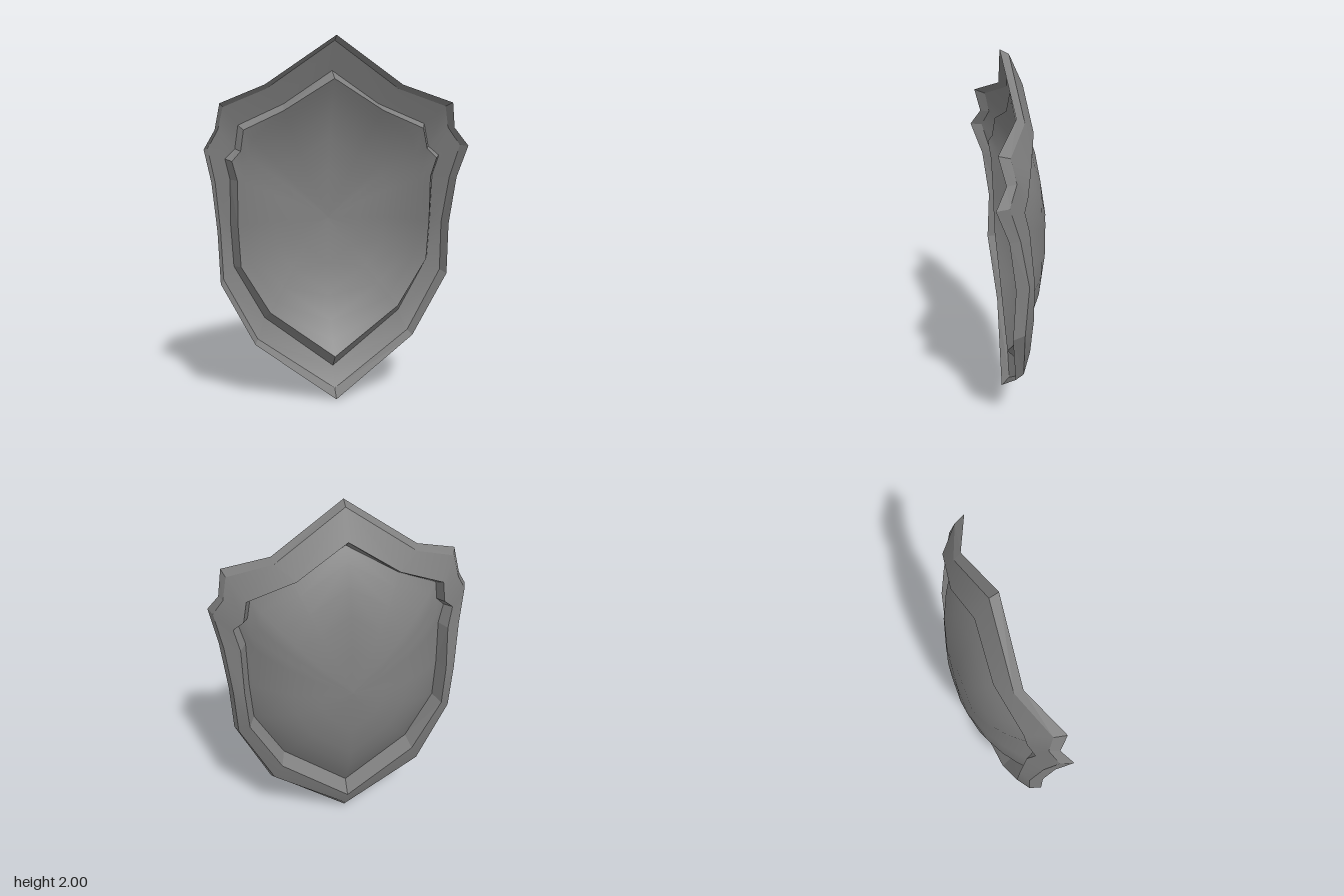
import * as THREE from 'three';

// Half outlines from the top point down the model's left side to the bottom point
const OUTER_EDGE = [[0, 2, .065], [.375, 1.745, .03], [.62, 1.65, .145], [.645, 1.515, .11], [.705, 1.42, .165],
  [.667, 1.245, .1], [.64, .98, .065], [.63, .7, .078], [.447, .34, .04], [0, 0, .065]];
const RIM_EDGE = [[0, 1.975, .018], [.365, 1.722, -.012], [.6, 1.63, .085], [.625, 1.515, .06], [.682, 1.42, .1],
  [.645, 1.24, .045], [.62, .98, -.003], [.61, .71, .015], [.43, .36, -.005], [0, .05, .02]];
const STEP_OUTER = [[0, 1.82, -.052], [.265, 1.642, -.07], [.515, 1.533, -.02], [.535, 1.41, -.005], [.59, 1.36, .018],
  [.563, 1.247, -.01], [.563, 1, -.035], [.55, .77, -.038], [.385, .468, -.045], [0, .165, -.035]];
const STEP_INNER = [[0, 1.777, .015], [.275, 1.607, .0], [.492, 1.51, .04], [.51, 1.4, .055], [.558, 1.35, .075],
  [.53, 1.247, .06], [.53, 1, .05], [.518, .78, .045], [.363, .515, .03], [0, .237, .03]];

// Mirror a half outline into a closed loop
const closeLoop = half => [...half, ...half.slice(1, -1).reverse().map(([x, y, z]) => [-x, y, z])];

// Skin a series of closed loops, outermost first, with the front facing +z
function skin(loops, flat) {
  const n = loops[0].length, index = [];
  for (let r = 0; r < loops.length - 1; r++) {
    for (let i = 0; i < n; i++) {
      const j = (i + 1) % n, a = r * n, b = a + n;
      if (i < n / 2) index.push(a + i, b + i, b + j, a + i, b + j, a + j);
      else index.push(a + i, b + i, a + j, b + i, b + j, a + j); // mirrored diagonal
    }
  }
  let geo = new THREE.BufferGeometry();
  geo.setAttribute('position', new THREE.Float32BufferAttribute(loops.flat(2), 3));
  geo.setIndex(index);
  if (flat) geo = geo.toNonIndexed();
  geo.computeVertexNormals();
  return geo;
}

export function createModel() {
  const group = new THREE.Group();
  group.name = 'shield';
  const steel = new THREE.MeshStandardMaterial({ color: 0x808080, side: THREE.DoubleSide });
  steel.name = 'grey steel';

  const add = (name, loops, flat) => {
    const mesh = new THREE.Mesh(skin(loops, flat), steel);
    mesh.name = name;
    group.add(mesh);
  };

  const [outer, rim, stepOut, stepIn] = [OUTER_EDGE, RIM_EDGE, STEP_OUTER, STEP_INNER].map(closeLoop);
  add('bevelledEdge', [outer, rim], true);
  add('rim', [rim, stepOut], false);
  add('panelStep', [stepOut, stepIn], true);

  // Dished panel: rings shrink to the centre while the depth eases to its deepest point
  const depth = -.164, midY = 1;
  const rings = [1, .9, .76, .58, .33, .001].map(t => stepIn.map(([x, y, z]) =>
    [x * t, midY + (y - midY) * t, depth + (z - depth) * t ** 2.6]));
  add('dishedPanel', rings, false);

  return group;
}
